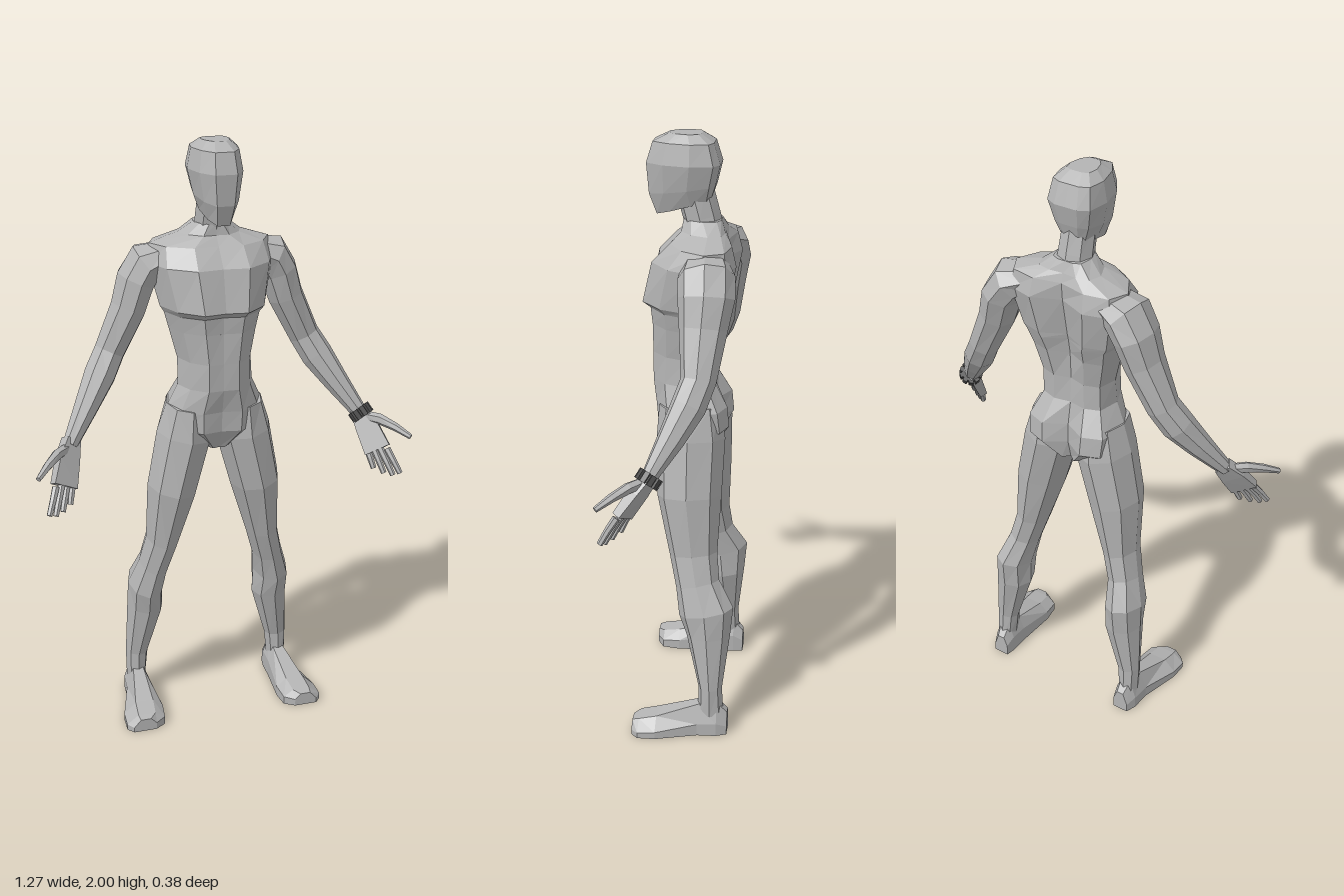
import * as THREE from 'three';

const V = (x, y, z) => new THREE.Vector3(x, y, z);

// Faceted skin over closed rings of points, capped at both ends
function loft(rings) {
  const n = rings[0].length, tris = [];
  for (let r = 0; r < rings.length - 1; r++) {
    for (let i = 0; i < n; i++) {
      const j = (i + 1) % n, a = rings[r], b = rings[r + 1];
      tris.push([a[i], a[j], b[j]], [a[i], b[j], b[i]]);
    }
  }
  const cap = (ring, flip) => {
    const c = V(0, 0, 0);
    ring.forEach(p => c.addScaledVector(p, 1 / n));
    ring.forEach((p, i) => {
      const q = ring[(i + 1) % n];
      tris.push(flip ? [c, q, p] : [c, p, q]);
    });
  };
  cap(rings[0], true);
  cap(rings[rings.length - 1], false);
  // turn the faces outward whichever way the rings run
  const o = rings[0][0];
  let volume = 0;
  for (const [a, b, c] of tris) {
    volume += a.clone().sub(o).dot(b.clone().sub(o).cross(c.clone().sub(o)));
  }
  const pts = tris.flatMap(([a, b, c]) => (volume < 0 ? [a, c, b] : [a, b, c]));
  const g = new THREE.BufferGeometry().setFromPoints(pts);
  g.computeVertexNormals();
  return g;
}

// Symmetric body section: half width w, z of the side, front and back, depth of the centre groove
function section([y, w, side, front, back, groove, tilt = 0]) {
  const mix = THREE.MathUtils.lerp;
  const half = [
    [0, front - groove * 0.25], [w * 0.4, front], [w * 0.8, mix(side, front, 0.6)], [w, side],
    [w * 0.85, mix(side, back, 0.8)], [w * 0.45, back], [0, back + groove],
  ];
  const mirrored = half.slice(1, -1).reverse().map(([x, z]) => [-x, z]);
  return [...half, ...mirrored].map(([x, z]) => V(x, y - tilt * z, z));
}

// Limb following stations [x, y, z, halfWidth, halfDepth]; side mirrors it
function limb(stations, side, n = 8, across = null) {
  const P = stations.map(s => V(s[0], s[1], s[2]));
  return loft(stations.map((s, k) => {
    const t = P[Math.min(k + 1, P.length - 1)].clone().sub(P[Math.max(k - 1, 0)]).normalize();
    const u = across ? across.clone().addScaledVector(t, -across.dot(t)) : V(0, 0, 1).cross(t);
    u.normalize();
    const v = t.clone().cross(u);
    return Array.from({ length: n }, (_, i) => {
      const a = (i + (n === 4 ? 0.5 : 0)) / n * Math.PI * 2;
      const p = P[k].clone().addScaledVector(u, Math.cos(a) * s[3]).addScaledVector(v, Math.sin(a) * s[4]);
      p.x *= side;
      return p;
    });
  }));
}

// Foot sections [z, inner x, outer x, top y] from heel to toe
function foot(sections, side) {
  return loft(sections.map(([z, a, b, top]) => [
    [a, 0], [b, 0], [b, top * 0.4], [b * 0.7 + a * 0.3, top], [a * 0.75 + b * 0.25, top], [a, top * 0.55],
  ].map(([x, y]) => V(x * side, y, z))));
}

export function createModel() {
  const body = new THREE.MeshStandardMaterial({ color: 0xb4b4b4 });
  body.name = 'body grey';
  const dark = new THREE.MeshStandardMaterial({ color: 0x4c4c4c });
  dark.name = 'band dark grey';
  const model = new THREE.Group();
  model.name = 'figure';
  const add = (name, geometry, material = body, parent = model) => {
    const m = new THREE.Mesh(geometry, material);
    m.name = name;
    parent.add(m);
    return m;
  };

  // Hips and waist, then chest with its shelf and spine groove
  const waistTop = [1.4, 0.15, -0.03, 0.1, -0.12, 0.03];
  add('hipsAndWaist', loft([
    [0.99, 0.05, -0.03, 0.04, -0.11, 0.02],
    [1.06, 0.16, -0.03, 0.083, -0.152, 0.045],
    [1.13, 0.165, -0.02, 0.088, -0.145, 0.04],
    [1.21, 0.127, -0.01, 0.1, -0.1, 0.01],
    [1.3, 0.125, -0.02, 0.1, -0.1, 0.015],
    waistTop,
  ].map(section)));
  add('chest', loft([
    waistTop,
    [1.455, 0.165, -0.03, 0.105, -0.14, 0.04],
    [1.475, 0.178, -0.03, 0.13, -0.145, 0.04],
    [1.61, 0.21, -0.06, 0.098, -0.17, 0.04],
    [1.67, 0.2, -0.08, 0.04, -0.155, 0.02],
    [1.7, 0.105, -0.08, 0.01, -0.13, 0.005],
    [1.735, 0.058, -0.06, 0.005, -0.113, 0],
  ].map(section)));

  add('neck', limb([[0, 1.66, -0.065, 0.065, 0.065], [0, 1.74, -0.05, 0.056, 0.06], [0, 1.83, -0.025, 0.052, 0.06]], 1));

  // Head with a flat face panel and a jaw that rises to the back
  add('head', loft([
    [1.775, 0.05, -0.02, 0.09, -0.08, 0, 0.3],
    [1.83, 0.07, -0.01, 0.113, -0.095, 0, 0.15],
    [1.91, 0.087, -0.02, 0.12, -0.11, 0],
    [1.975, 0.075, -0.02, 0.1, -0.09, 0],
    [2, 0.045, -0.01, 0.05, -0.05, 0],
  ].map(section)));

  const palmAcross = V(0.86, 0, 0.51), fingerDir = V(0.27, -0.8, 0.53);
  for (const side of [1, -1]) {
    const label = side > 0 ? 'left' : 'right';

    // Arm from shoulder to wrist
    add(label + 'Arm', limb([
      [0.14, 1.63, -0.08, 0.045, 0.07], [0.205, 1.605, -0.09, 0.07, 0.088], [0.24, 1.55, -0.095, 0.065, 0.088],
      [0.268, 1.46, -0.09, 0.06, 0.075], [0.335, 1.32, -0.085, 0.052, 0.055],
      [0.375, 1.25, -0.06, 0.054, 0.055], [0.43, 1.165, -0.015, 0.042, 0.043], [0.5, 1.06, 0.045, 0.026, 0.024],
    ], side));

    // Hand: palm, four fingers and an outward thumb
    const hand = new THREE.Group();
    hand.name = label + 'Hand';
    model.add(hand);
    add('palm', limb([[0.493, 1.075, 0.035, 0.036, 0.026], [0.515, 1.02, 0.072, 0.054, 0.024],
      [0.537, 0.95, 0.118, 0.063, 0.019]], side, 4, palmAcross), body, hand);
    for (let i = 0; i < 4; i++) {
      const base = V(0.535, 0.957, 0.113).addScaledVector(palmAcross, -0.035 + 0.0235 * i);
      const length = [0.085, 0.1, 0.105, 0.095][i];
      const stations = [0, 0.5, 1].map(f => {
        const p = base.clone().addScaledVector(fingerDir, f * length)
          .addScaledVector(palmAcross, f * (i - 1.5) * 0.005);
        const r = 0.0125 - 0.003 * f;
        return [p.x, p.y, p.z - 0.008 * f * f, r, r];
      });
      add('finger', limb(stations, side, 6, palmAcross), body, hand);
    }
    add('thumb', limb([[0.51, 1.055, 0.055, 0.018, 0.016], [0.55, 1.052, 0.095, 0.019, 0.017],
      [0.59, 1.035, 0.14, 0.014, 0.014], [0.627, 1.012, 0.182, 0.009, 0.009]], side, 6), body, hand);

    // Leg from hip to ankle
    add(label + 'Leg', limb([
      [0.095, 1.14, -0.025, 0.068, 0.1], [0.102, 1.03, -0.03, 0.095, 0.113],
      [0.146, 0.84, -0.031, 0.086, 0.107], [0.18, 0.64, -0.05, 0.056, 0.08], [0.207, 0.54, -0.068, 0.053, 0.074],
      [0.23, 0.45, -0.1, 0.062, 0.093], [0.231, 0.36, -0.108, 0.064, 0.074], [0.262, 0.17, -0.12, 0.04, 0.04],
      [0.266, 0.07, -0.122, 0.034, 0.044],
    ], side));

    add(label + 'Foot', foot([
      [-0.18, 0.235, 0.29, 0.08], [-0.145, 0.228, 0.305, 0.12], [-0.08, 0.226, 0.31, 0.11],
      [0.06, 0.213, 0.352, 0.065], [0.12, 0.22, 0.355, 0.052], [0.143, 0.255, 0.335, 0.045],
    ], side));
  }

  // Wrist band with raised links, on the left wrist only
  const band = new THREE.Group();
  band.name = 'wristBand';
  band.position.set(0.502, 1.062, 0.042);
  band.quaternion.setFromUnitVectors(V(0, 1, 0), V(-0.45, 0.75, -0.48).normalize());
  model.add(band);
  const strap = new THREE.CylinderGeometry(0.034, 0.034, 0.026, 10).toNonIndexed();
  strap.computeVertexNormals();
  add('strap', strap, dark, band);
  for (let i = 0; i < 10; i++) {
    const a = i / 10 * Math.PI * 2;
    const link = add('link', new THREE.BoxGeometry(0.016, 0.034, 0.01), dark, band);
    link.position.set(Math.sin(a) * 0.035, 0, Math.cos(a) * 0.035);
    link.rotation.y = a;
  }
  return model;
}
